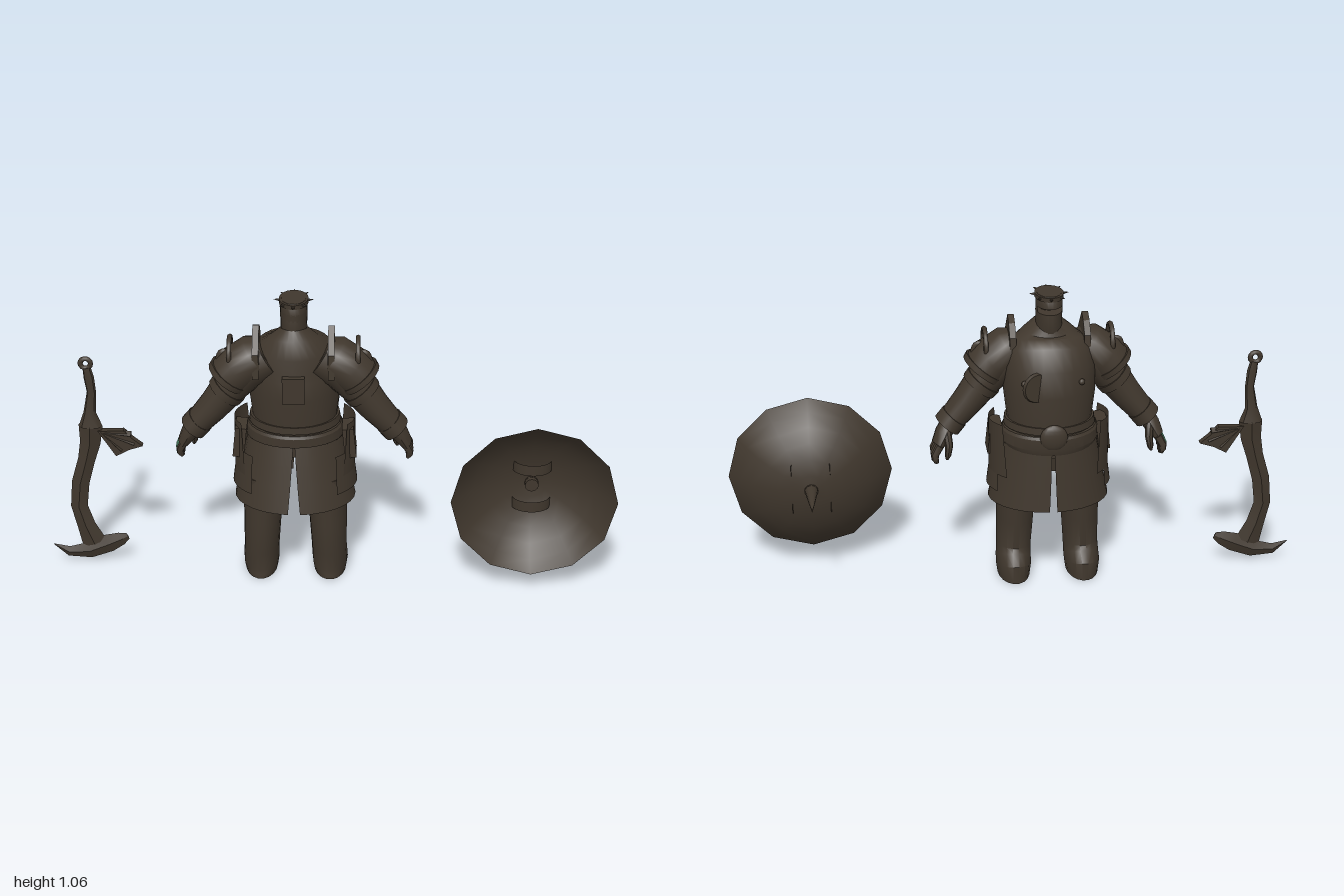
import * as THREE from 'three';
import { toCreasedNormals } from 'three/addons/utils/BufferGeometryUtils.js';

const brown = new THREE.MeshStandardMaterial({ color: 0x40372d, side: THREE.DoubleSide });
brown.name = 'dark brown';
const teal = new THREE.MeshStandardMaterial({ color: 0x6fb894 });
teal.name = 'teal';

function add(parent, name, geo, pos = [0, 0, 0], rot = [0, 0, 0], mat = brown) {
  const m = new THREE.Mesh(geo, mat);
  m.name = name;
  m.position.set(...pos);
  m.rotation.set(...rot);
  parent.add(m);
  return m;
}

// Tube of elliptical rings; each section is [x, y, z, half width, half depth]
function loft(sections, sides = 16, crease = 0.7) {
  const pos = [], idx = [], n = sections.length, Z = new THREE.Vector3(0, 0, 1);
  const at = i => new THREE.Vector3(...sections[Math.min(n - 1, Math.max(0, i))].slice(0, 3));
  sections.forEach(([, , , a, b], i) => {
    const p = at(i), T = at(i + 1).sub(at(i - 1)).normalize();
    const A = T.clone().cross(Z).normalize(), B = A.clone().cross(T);
    for (let j = 0; j < sides; j++) {
      const t = j / sides * Math.PI * 2;
      const v = p.clone().addScaledVector(A, a * Math.cos(t)).addScaledVector(B, b * Math.sin(t));
      pos.push(v.x, v.y, v.z);
    }
  });
  for (let i = 0; i < n - 1; i++) for (let j = 0; j < sides; j++) {
    const k = (j + 1) % sides, a = i * sides + j, b = i * sides + k;
    idx.push(a, b + sides, b, a, a + sides, b + sides);
  }
  for (let j = 1; j < sides - 1; j++) {
    const e = (n - 1) * sides;
    idx.push(0, j, j + 1, e, e + j + 1, e + j);
  }
  const g = new THREE.BufferGeometry();
  g.setAttribute('position', new THREE.Float32BufferAttribute(pos, 3));
  g.setIndex(idx);
  return toCreasedNormals(g, crease);
}

// Vertical loft from rows of [y, x, z, half width, half depth]
const stack = (rows, sides, crease) => loft(rows.map(([y, x, z, a, b]) => [x, y, z, a, b]), sides, crease);

// Curved hanging plate; ends are [y, z, half width, half depth, start angle, end angle]
function panel(top, bottom) {
  const g = new THREE.PlaneGeometry(1, 1, 14, 3), p = g.attributes.position;
  for (let i = 0; i < p.count; i++) {
    const u = p.getX(i) + 0.5, v = 0.5 - p.getY(i);
    const [y, z, a, b, t0, t1] = top.map((q, k) => q + (bottom[k] - q) * v);
    const t = t0 + (t1 - t0) * u;
    p.setXYZ(i, a * Math.sin(t), y, z + b * Math.cos(t));
  }
  g.computeVertexNormals();
  return g;
}

function plate(points, depth) {
  const g = new THREE.ExtrudeGeometry(new THREE.Shape(points.map(p => new THREE.Vector2(...p))),
    { depth, bevelEnabled: false });
  return g.translate(0, 0, -depth / 2);
}

// Everything that exists on both sides, built on +x
function buildSide(ringed) {
  const s = new THREE.Group();
  add(s, 'leg', stack([[0, 0.123, -0.004, 0.057, 0.104], [0.04, 0.123, -0.004, 0.063, 0.106],
    [0.065, 0.122, 0.012, 0.063, 0.09], [0.11, 0.12, 0.025, 0.062, 0.085],
    [0.22, 0.116, 0.02, 0.066, 0.09], [0.4, 0.11, 0.015, 0.072, 0.1]], 18));
  add(s, 'skirtHalf', panel([0.56, -0.015, 0.16, 0.13, 0.01, 3.12], [0.305, 0.005, 0.212, 0.168, 0.1, 3.08]));
  add(s, 'upperHipPlate', panel([0.61, 0, 0.21, 0.15, 1.05, 2.2], [0.42, 0, 0.21, 0.165, 0.95, 2.3]));
  add(s, 'lowerHipPlate', panel([0.5, 0, 0.2, 0.155, 0.8, 2.0], [0.36, 0, 0.218, 0.17, 0.75, 2.1]));
  add(s, 'hipPouch', new THREE.BoxGeometry(0.04, 0.11, 0.09), [0.19, 0.53, 0.02], [0, 0, 0.1]);

  // arm, cuffs and shoulder armour
  add(s, 'arm', loft([[0.09, 0.85, 0.03, 0.07, 0.085], [0.16, 0.805, 0.035, 0.072, 0.08],
    [0.22, 0.736, 0.035, 0.063, 0.068], [0.278, 0.659, 0.033, 0.054, 0.062], [0.347, 0.579, 0.028, 0.044, 0.055]], 18));
  add(s, 'cuff', loft([[0.325, 0.605, 0.028, 0.05, 0.061], [0.352, 0.572, 0.026, 0.05, 0.06]], 18));
  add(s, 'elbowBand', loft([[0.222, 0.733, 0.034, 0.067, 0.073], [0.24, 0.71, 0.034, 0.065, 0.07]], 18));
  add(s, 'shoulderPlate', loft([[0.1, 0.875, 0.035, 0.05, 0.06], [0.13, 0.855, 0.035, 0.074, 0.085],
    [0.19, 0.808, 0.037, 0.08, 0.088], [0.222, 0.775, 0.037, 0.076, 0.086]], 18));
  add(s, 'shoulderRim', loft([[0.215, 0.785, 0.037, 0.082, 0.09], [0.228, 0.768, 0.037, 0.079, 0.088]], 18));
  add(s, 'shoulderDisc', new THREE.TorusGeometry(0.056, 0.009, 6, 24), [0.218, 0.862, 0.036], [0, Math.PI / 2, 0.75]);
  const hook = new THREE.CatmullRomCurve3([[0.21, 0.86], [0.245, 0.865], [0.258, 0.835], [0.265, 0.81], [0.28, 0.815]]
    .map(([x, y]) => new THREE.Vector3(x, y, 0.036)));
  add(s, 'shoulderHook', new THREE.TubeGeometry(hook, 14, 0.011, 8));
  const crest = plate([[-0.12, 0.8], [0.05, 0.8], [0.04, 0.91], [0, 0.95], [-0.04, 0.968], [-0.115, 0.89]], 0.022);
  add(s, 'collarCrest', crest, [0.128, 0, 0], [0, Math.PI / 2, 0]);

  // hand with four fingers and a thumb
  add(s, 'palm', loft([[0.345, 0.582, 0.024, 0.03, 0.036], [0.365, 0.55, 0.012, 0.03, 0.045],
    [0.386, 0.512, 0.002, 0.022, 0.047]], 12));
  for (let i = 0; i < 4; i++) {
    const z = 0.036 - i * 0.024, drop = i === 0 || i === 3 ? 0.01 : 0;
    add(s, 'finger', loft([[0.382, 0.52, z, 0.015, 0.013], [0.4, 0.487, z - 0.003, 0.014, 0.012],
      [0.399, 0.462 + drop, z - 0.006, 0.012, 0.011], [0.393, 0.448 + drop, z - 0.008, 0.006, 0.006]], 8));
    if (ringed && i > 0 && i < 3) add(s, 'fingerPlate', loft([[0.393, 0.517, z, 0.01, 0.0125],
      [0.408, 0.487, z - 0.003, 0.009, 0.0125], [0.407, 0.462, z - 0.006, 0.008, 0.0115]], 8), undefined, undefined, teal);
  }
  add(s, 'thumb', loft([[0.355, 0.56, -0.015, 0.015, 0.015], [0.35, 0.52, -0.038, 0.014, 0.014],
    [0.355, 0.485, -0.042, 0.011, 0.011], [0.358, 0.47, -0.042, 0.005, 0.005]], 8));
  add(s, 'chestStud', new THREE.SphereGeometry(0.011, 10, 8), [0.098, 0.775, -0.122]);
  return s;
}

function buildFigure() {
  const f = new THREE.Group();
  f.name = 'armouredFigure';
  const left = buildSide(false), right = buildSide(true);
  left.name = 'leftSide';
  right.name = 'rightSide';
  right.scale.x = -1;
  f.add(left, right);

  add(f, 'torso', stack([[0.5, 0, -0.015, 0.15, 0.128], [0.62, 0, -0.015, 0.148, 0.133], [0.72, 0, -0.013, 0.16, 0.138],
    [0.8, 0, -0.01, 0.157, 0.135], [0.85, 0, 0.005, 0.148, 0.117], [0.89, 0, 0.022, 0.128, 0.097],
    [0.92, 0, 0.022, 0.085, 0.075], [0.95, 0, 0.015, 0.046, 0.062]], 28));
  add(f, 'belt', stack([[0.53, 0, -0.015, 0.164, 0.138], [0.54, 0, -0.016, 0.17, 0.143],
    [0.575, 0, -0.016, 0.168, 0.143], [0.585, 0, -0.016, 0.162, 0.138]], 28, 0.4));
  add(f, 'upperBelt', stack([[0.592, 0, -0.015, 0.16, 0.138], [0.618, 0, -0.015, 0.156, 0.137]], 28));
  add(f, 'buckle', new THREE.SphereGeometry(0.048, 16, 10), [0, 0.582, -0.15]).scale.z = 0.35;
  add(f, 'breastDisc', new THREE.CylinderGeometry(0.05, 0.054, 0.012, 20), [0.055, 0.765, -0.137], [-Math.PI / 2, 0, 0.35]);
  add(f, 'backPlate', new THREE.BoxGeometry(0.076, 0.095, 0.022), [0, 0.763, 0.124]);

  // helmet: lower bowl, slit closed at the rear, upper band
  add(f, 'lowerHelmet', stack([[0.9, 0, 0.015, 0.05, 0.055], [0.92, 0, 0.012, 0.046, 0.06],
    [0.965, 0, 0.011, 0.045, 0.067], [0.995, 0, 0.01, 0.046, 0.065]], 18));
  add(f, 'helmetRear', panel([1.018, 0.01, 0.046, 0.065, -2.0, 2.0], [0.99, 0.01, 0.046, 0.065, -2.0, 2.0]));
  add(f, 'helmetInside', new THREE.CylinderGeometry(0.03, 0.03, 0.05, 12), [0, 1.0, 0.022]);
  add(f, 'upperHelmet', stack([[1.013, 0, 0.01, 0.046, 0.065], [1.045, 0, 0.01, 0.046, 0.063],
    [1.056, 0, 0.01, 0.042, 0.056]], 18));
  add(f, 'crownBand', stack([[1.04, 0, 0.01, 0.05, 0.067], [1.055, 0, 0.01, 0.05, 0.067]], 18));
  for (let i = 0; i < 8; i++) {
    const t = i * Math.PI / 4, spike = new THREE.ConeGeometry(0.009, 0.034, 6);
    spike.rotateX(Math.PI / 2 - 0.1);
    add(f, 'crownSpike', spike, [0.052 * Math.sin(t), 1.049, 0.012 + 0.07 * Math.cos(t)], [0, t, 0]);
  }
  f.position.x = -0.125;
  return f;
}

function buildShield() {
  const s = new THREE.Group();
  s.name = 'shield';
  // twelve-sided bowl opening to +z
  const R = 0.351, profile = [];
  for (let i = 0; i <= 6; i++) {
    const a = i / 6 * Math.asin(0.289 / R);
    profile.push(new THREE.Vector2(R * Math.sin(a), R - R * Math.cos(a)));
  }
  add(s, 'shieldBowl', new THREE.LatheGeometry(profile, 12), [0, 0, 0], [Math.PI / 2, 0, 0]);
  add(s, 'shieldSpike', new THREE.ConeGeometry(0.025, 0.18, 10), [0, 0, -0.08], [-Math.PI / 2, 0, 0]);
  add(s, 'shieldBoss', new THREE.CylinderGeometry(0.024, 0.024, 0.03, 12), [0, 0, 0.012], [Math.PI / 2, 0, 0]);
  for (const y of [0.075, -0.07])
    add(s, 'shieldStrap', panel([y + 0.02, 0.005, 0.068, 0.055, -1.57, 1.57], [y - 0.02, 0.005, 0.068, 0.055, -1.57, 1.57]));
  s.position.set(0.706, 0.352, 0.003);
  return s;
}

function buildWeapon() {
  const w = new THREE.Group();
  w.name = 'hookedBlade';
  add(w, 'gripRing', new THREE.TorusGeometry(0.018, 0.009, 6, 14), [-0.845, 0.793, 0]);
  add(w, 'grip', loft([[-0.842, 0.778, 0, 0.014, 0.012], [-0.836, 0.74, 0, 0.018, 0.014],
    [-0.83, 0.683, 0, 0.016, 0.013], [-0.84, 0.603, 0, 0.022, 0.016], [-0.84, 0.55, 0, 0.042, 0.024]], 8));
  add(w, 'blade', loft([[-0.84, 0.555, 0, 0.042, 0.024], [-0.845, 0.485, 0, 0.036, 0.018], [-0.862, 0.416, 0, 0.03, 0.015],
    [-0.888, 0.325, 0, 0.031, 0.015], [-0.898, 0.23, 0, 0.03, 0.015], [-0.877, 0.15, 0, 0.033, 0.015],
    [-0.85, 0.075, 0, 0.045, 0.012]], 4, 0.4));
  add(w, 'hookTip', loft([[-1, 0.07, 0, 0.001, 0.001], [-0.945, 0.04, 0, 0.02, 0.008], [-0.872, 0.045, 0, 0.032, 0.013],
    [-0.8, 0.075, 0, 0.036, 0.013], [-0.755, 0.094, 0, 0.026, 0.009], [-0.73, 0.105, 0, 0.012, 0.003]], 4, 0.4));
  // pleated fan beside the guard
  const fan = [[-0.815, 0.535], [-0.725, 0.538], [-0.693, 0.505], [-0.66, 0.478], [-0.71, 0.462], [-0.755, 0.437], [-0.8, 0.51]];
  add(w, 'guardFan', plate(fan, 0.024));
  for (const [x, y] of [[-0.7, 0.52], [-0.69, 0.485], [-0.735, 0.46]])
    add(w, 'fanPleat', loft([[-0.805, 0.53, 0, 0.006, 0.012], [x, y, 0, 0.012, 0.02]], 4, 0.4));
  w.position.z = -0.013;
  return w;
}

export function createModel() {
  const model = new THREE.Group();
  model.name = 'armouredFigureWithShieldAndBlade';
  model.add(buildFigure(), buildShield(), buildWeapon());
  return model;
}
